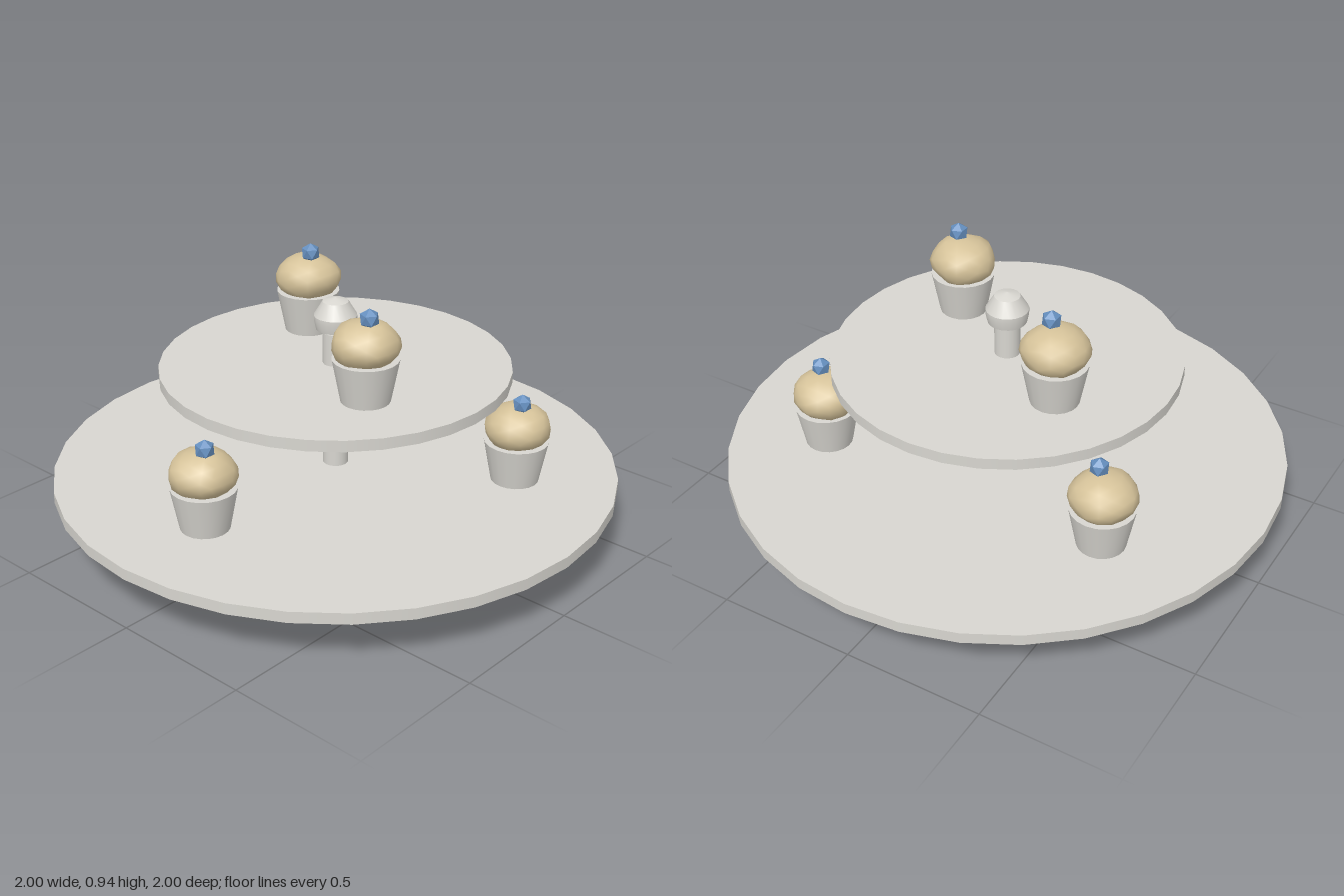
import * as THREE from 'three';
import { mergeVertices, toCreasedNormals } from 'three/addons/utils/BufferGeometryUtils.js';

const stand = new THREE.MeshStandardMaterial({ color: 0xd8d6d0 });
stand.name = 'pale ceramic';
const sponge = new THREE.MeshStandardMaterial({ color: 0xd6c39a });
sponge.name = 'golden sponge';
const blue = new THREE.MeshStandardMaterial({ color: 0x6690c0 });
blue.name = 'berry blue';

function add(parent, name, geometry, material, x = 0, y = 0, z = 0) {
  const mesh = new THREE.Mesh(geometry, material);
  mesh.name = name;
  mesh.position.set(x, y, z);
  parent.add(mesh);
  return mesh;
}

// Turned part from [radius, height] pairs, with crisp edges
function turned(profile, sides) {
  const points = profile.map(([r, y]) => new THREE.Vector2(r, y));
  return toCreasedNormals(new THREE.LatheGeometry(points, sides), 0.45);
}

// Squashed, slightly lumpy ball of cake
function muffinTop(seed) {
  let g = new THREE.IcosahedronGeometry(1, 2);
  g.deleteAttribute('normal');
  g.deleteAttribute('uv');
  g = mergeVertices(g, 1e-4);
  const p = g.attributes.position;
  const v = new THREE.Vector3();
  for (let i = 0; i < p.count; i++) {
    v.fromBufferAttribute(p, i);
    const lump = 1 + 0.035 * Math.sin(5 * v.x + seed) * Math.cos(4 * v.z - seed) + 0.02 * Math.sin(7 * v.y + 3 * v.x + seed);
    v.multiplyScalar(lump);
    p.setXYZ(i, v.x * 0.116, v.y * 0.084, v.z * 0.116);
  }
  g.computeVertexNormals();
  return g;
}

function cupcake(x, y, z, seed) {
  const group = new THREE.Group();
  group.name = 'cupcake';
  group.position.set(x, y, z);
  add(group, 'paperCup', new THREE.CylinderGeometry(0.113, 0.084, 0.15, 20), stand, 0, 0.075, 0);
  add(group, 'muffinTop', muffinTop(seed), sponge, 0, 0.2, 0);
  // Berry sits off-centre with one corner pointing up
  const berry = new THREE.IcosahedronGeometry(0.035, 0).rotateZ(-0.5536);
  add(group, 'berry', berry, blue, 0.024, 0.298, 0.012);
  return group;
}

export function createModel() {
  const model = new THREE.Group();
  model.name = 'cupcakeStand';

  // Foot, plates, post and finial
  add(model, 'foot', turned([[0, 0], [0.344, 0], [0.344, 0.032], [0.108, 0.117], [0.07, 0.18]], 32), stand);
  add(model, 'lowerPlate', new THREE.CylinderGeometry(0.998, 0.998, 0.04, 32), stand, 0, 0.2, 0);
  add(model, 'upperPlate', new THREE.CylinderGeometry(0.613, 0.613, 0.04, 32), stand, 0, 0.585, 0);
  add(model, 'post', new THREE.CylinderGeometry(0.045, 0.045, 0.5, 20), stand, 0, 0.47, 0);
  add(model, 'finial', turned([[0, 0.733], [0.068, 0.733], [0.075, 0.765], [0.075, 0.782], [0.045, 0.832], [0, 0.846]], 20), stand);

  // Three cupcakes below, two above
  for (let i = 0; i < 3; i++) {
    const a = (i * Math.PI * 2) / 3;
    model.add(cupcake(0.64 * Math.sin(a), 0.22, 0.64 * Math.cos(a), i * 1.7));
  }
  for (const side of [-1, 1]) {
    model.add(cupcake(side * 0.282, 0.605, side * 0.165, 5 + side));
  }
  return model;
}
